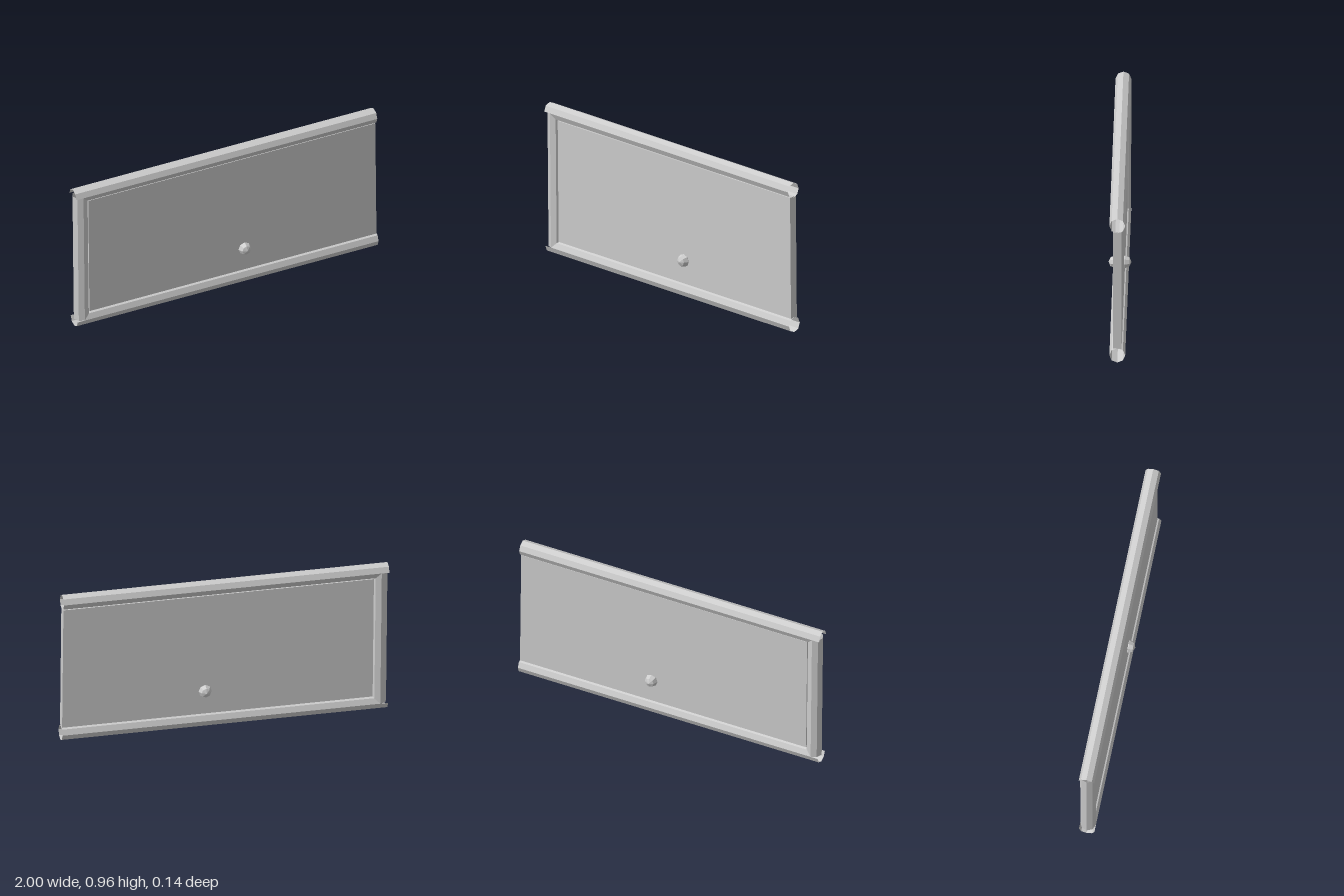
import * as THREE from 'three';

const HALF_W = 0.995;   // half length of the sign
const RAIL_Y = 0.425;   // height of rail axes above and below the centre
const POST_X = -0.948;  // axis of the upright
const R = 0.047;        // tube radius

const metal = new THREE.MeshStandardMaterial({ color: 0xcccccc, side: THREE.DoubleSide });
metal.name = 'grey metal';

// Skin a list of cross-sections (arrays of Vector3) with hard facets
function skin(sections) {
  const pos = [];
  for (let i = 0; i < sections.length - 1; i++) {
    const a = sections[i], b = sections[i + 1];
    for (let j = 0; j < a.length - 1; j++) {
      for (const p of [a[j], b[j], b[j + 1], a[j], b[j + 1], a[j + 1]]) pos.push(p.x, p.y, p.z);
    }
  }
  const g = new THREE.BufferGeometry();
  g.setAttribute('position', new THREE.Float32BufferAttribute(pos, 3));
  g.computeVertexNormals();
  return g;
}

// Half an octagon at (x, y), bulging along (dx, dy)
function halfRing(x, y, dx, dy) {
  return [0, 1, 2, 3, 4].map((i) => {
    const a = (i * Math.PI) / 4;
    const d = R * Math.sin(a);
    return new THREE.Vector3(x + dx * d, y + dy * d, R * Math.cos(a));
  });
}

export function createModel() {
  const model = new THREE.Group();
  model.name = 'framedPanel';
  const body = new THREE.Group();
  body.name = 'tiltedPanel';
  body.position.y = 0.482;
  body.rotation.z = 0.0105;
  model.add(body);

  const add = (name, geometry) => {
    const mesh = new THREE.Mesh(geometry, metal);
    mesh.name = name;
    body.add(mesh);
    return mesh;
  };

  // Inner half of the tube frame, mitred at the two corners
  add('frameInnerHalf', skin([
    halfRing(HALF_W, -RAIL_Y, 0, 1),
    halfRing(POST_X, -RAIL_Y, 1, 1),
    halfRing(POST_X, RAIL_Y, 1, -1),
    halfRing(HALF_W, RAIL_Y, 0, -1),
  ]));

  // Outer halves: rails run through with open ends, upright stops between them
  add('bottomRailOuterHalf', skin([
    halfRing(-HALF_W, -RAIL_Y, 0, -1), halfRing(HALF_W, -RAIL_Y, 0, -1),
  ].reverse()));
  add('topRailOuterHalf', skin([
    halfRing(-HALF_W, RAIL_Y, 0, 1), halfRing(HALF_W, RAIL_Y, 0, 1),
  ]));
  add('uprightOuterHalf', skin([
    halfRing(POST_X, -RAIL_Y, -1, 0), halfRing(POST_X, RAIL_Y, -1, 0),
  ]));

  // Flat panel filling the frame
  const left = POST_X + 0.042, right = HALF_W - 0.003;
  const panel = add('panel', new THREE.BoxGeometry(right - left, 2 * (RAIL_Y - 0.042), 0.05));
  panel.position.x = (left + right) / 2;

  // Faceted knob on each face
  for (const s of [1, -1]) {
    const ball = new THREE.SphereGeometry(0.04, 8, 4).rotateX(Math.PI / 2).toNonIndexed();
    ball.computeVertexNormals();
    const knob = add(s > 0 ? 'frontKnob' : 'backKnob', ball);
    knob.position.set(0.12, -0.236, s * 0.028);
  }
  return model;
}
